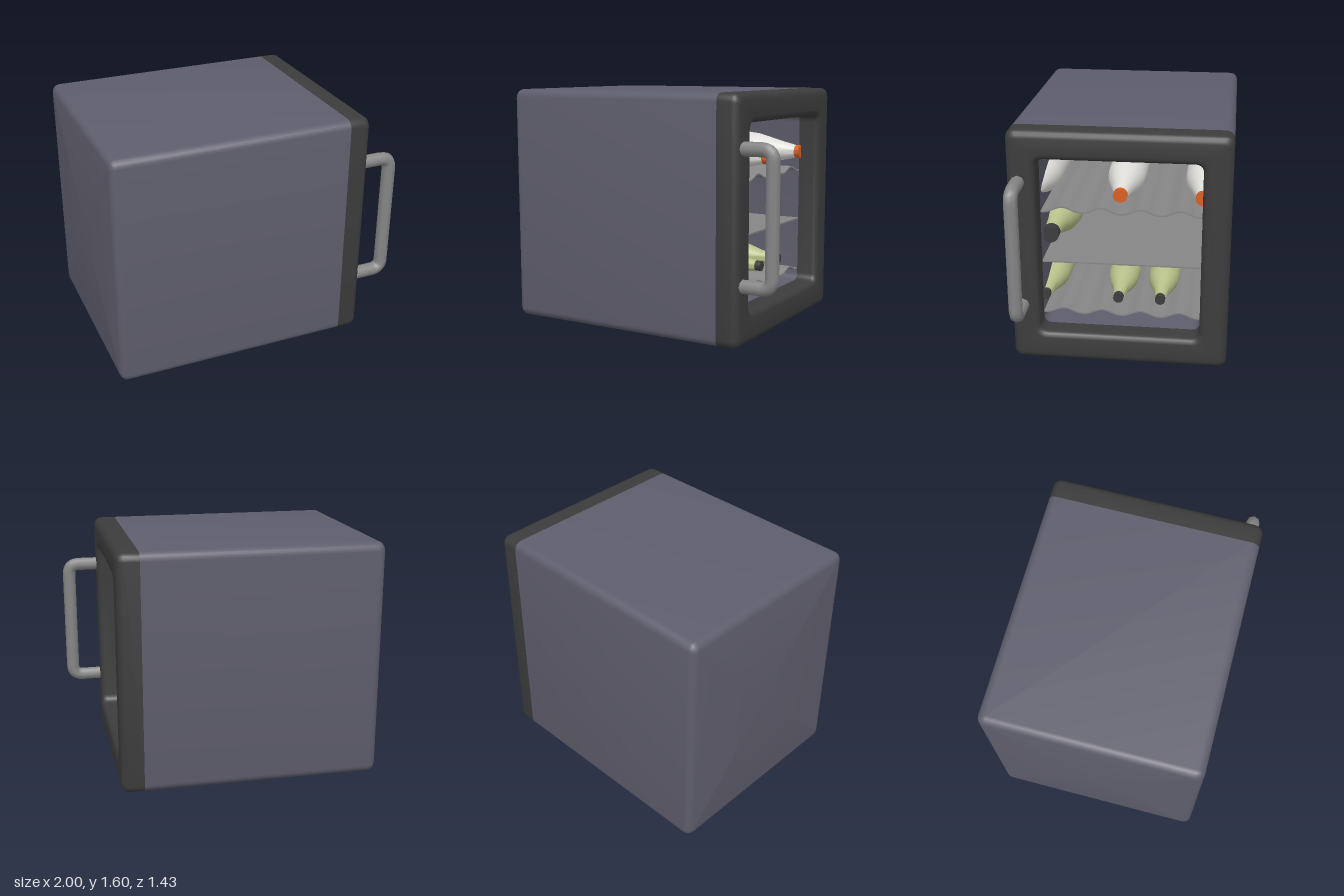
import * as THREE from 'three';
import { toCreasedNormals } from 'three/addons/utils/BufferGeometryUtils.js';

const mat = (name, color) => {
  const m = new THREE.MeshStandardMaterial({ color });
  m.name = name;
  return m;
};

// Rounded rectangle in the z-y plane as a ring of points
function ring([x, cy, hz, hy, r]) {
  const pts = [], steps = 5;
  const corners = [[1, 1], [-1, 1], [-1, -1], [1, -1]];
  corners.forEach(([sz, sy], c) => {
    for (let i = 0; i <= steps; i++) {
      const a = (c + i / steps) * Math.PI / 2;
      pts.push([x, cy + sy * (hy - r) + r * Math.sin(a), sz * (hz - r) + r * Math.cos(a)]);
    }
  });
  return pts;
}

// Skin joining rounded-rectangle sections [x, centreY, halfZ, halfY, radius]
function loft(sections) {
  const rings = sections.map(ring), n = rings[0].length, idx = [];
  for (let i = 0; i < rings.length - 1; i++) {
    for (let k = 0; k < n; k++) {
      const a = i * n + k, b = i * n + (k + 1) % n, d = a + n, c = b + n;
      idx.push(a, d, b, b, d, c);
    }
  }
  const g = new THREE.BufferGeometry();
  g.setAttribute('position', new THREE.Float32BufferAttribute(rings.flat(2), 3));
  g.setIndex(idx);
  return toCreasedNormals(g, 0.7);
}

export function createModel() {
  const group = new THREE.Group();
  const body = mat('slate body', 0x5e5d6c);
  const frame = mat('charcoal', 0x3c3c3c);
  const metal = mat('grey metal', 0x868686);
  const white = mat('white glass', 0xdedcd8);
  const green = mat('green glass', 0xb6c088);
  const orange = mat('orange cap', 0xd95f22);

  const add = (name, geometry, material, parent = group) => {
    const mesh = new THREE.Mesh(geometry, material);
    mesh.name = name;
    parent.add(mesh);
    return mesh;
  };

  // Cabinet: outer skin with rounded back edge, and the cavity inside
  const B = 0.05, CY = 0.8, HZ = 0.715, HY = 0.8, OY = 0.805, OZ = 0.53, OH = 0.605;
  const arc = [0, 1, 2, 3, 4].map(i => i * Math.PI / 8);
  const outer = [[-1, CY, 0, 0, 0]];
  arc.forEach(a => {
    const inset = B * (1 - Math.sin(a));
    outer.push([-1 + B * (1 - Math.cos(a)), CY, HZ - inset, HY - inset, 0.055 - inset * 0.6]);
  });
  outer.push([0.6, CY, HZ, HY, 0.055]);
  add('cabinet', loft(outer), body);
  add('cavity', loft([[0.6, OY, OZ, OH, 0.05], [-0.9, OY, OZ, OH, 0.05], [-0.9, OY, 0, 0, 0]]), body);

  // Door frame: rounded outside edge, flat face, rounded opening
  const door = [[0.6, CY, HZ, HY, 0.055]];
  arc.forEach(a => {
    const inset = B * (1 - Math.cos(a));
    door.push([0.70 + B * Math.sin(a), CY, HZ - inset, HY - inset, 0.055 - inset * 0.6]);
  });
  arc.forEach(a => {
    const out = 0.04 * (1 - Math.sin(a));
    door.push([0.71 + 0.04 * Math.cos(a), OY, OZ + out, OH + out, 0.05 + out]);
  });
  door.push([0.6, OY, OZ, OH, 0.05]);
  add('doorFrame', loft(door), frame);

  // Handle: one bent bar
  const V = (x, y) => new THREE.Vector3(x, y, 0.64);
  const path = new THREE.CurvePath();
  path.add(new THREE.LineCurve3(V(0.73, 1.26), V(0.88, 1.26)));
  path.add(new THREE.QuadraticBezierCurve3(V(0.88, 1.26), V(0.952, 1.26), V(0.952, 1.19)));
  path.add(new THREE.LineCurve3(V(0.952, 1.19), V(0.952, 0.47)));
  path.add(new THREE.QuadraticBezierCurve3(V(0.952, 0.47), V(0.952, 0.4), V(0.88, 0.4)));
  path.add(new THREE.LineCurve3(V(0.88, 0.4), V(0.73, 0.4)));
  add('handle', new THREE.TubeGeometry(path, 64, 0.046, 8), metal);

  // Shelves: a thin profile extruded from the back wall to the door
  const shelf = (name, y, wave) => {
    const top = [], n = 64, t = 0.01;
    for (let i = 0; i <= n; i++) {
      const z = -OZ + 2 * OZ * i / n;
      top.push([z, y + wave * Math.pow(Math.sin(Math.PI * z / 0.26) ** 2, 1.2)]);
    }
    const outline = [...top, ...top.map(([z, h]) => [z, h - t]).reverse()];
    const shape = new THREE.Shape(outline.map(p => new THREE.Vector2(...p)));
    const g = new THREE.ExtrudeGeometry(shape, { depth: 1.5, bevelEnabled: false });
    g.rotateY(Math.PI / 2).translate(-0.9, 0, 0);
    add(name, toCreasedNormals(g, 0.6), metal);
  };
  shelf('topShelf', 1.015, 0.036);
  shelf('middleShelf', 0.66, 0);
  shelf('bottomShelf', 0.285, 0.036);

  // Bottles: turned profiles [radius, x] lying along x, neck toward the door
  const lathe = pts => toCreasedNormals(
    new THREE.LatheGeometry(pts.map(p => new THREE.Vector2(...p)), 32).rotateZ(-Math.PI / 2), 0.6);
  const bottle = (name, profile, cap, glass, capMat, y, z) => {
    const g = new THREE.Group();
    g.name = name;
    g.position.set(0, y, z);
    add('glass', lathe(profile), glass, g);
    add('cap', lathe(cap), capMat, g);
    group.add(g);
  };

  const whiteGlass = [[0, -0.5], [0.128, -0.5], [0.128, 0.2], [0.12, 0.28], [0.1, 0.36], [0.07, 0.47], [0.045, 0.58]];
  const whiteCap = [[0.045, 0.57], [0.046, 0.615], [0, 0.615]];
  [0.58, 0.005, -0.525].forEach(z => bottle('whiteBottle', whiteGlass, whiteCap, white, orange, 1.145, z));

  const bigGlass = [[0, -0.5], [0.148, -0.5], [0.148, 0.05], [0.135, 0.15], [0.1, 0.26], [0.065, 0.36], [0.05, 0.46]];
  const bigCap = [[0.05, 0.45], [0.056, 0.46], [0.056, 0.53], [0, 0.53]];
  bottle('largeGreenBottle', bigGlass, bigCap, green, frame, 0.818, 0.485);

  const smallGlass = [[0, -0.4], [0.107, -0.4], [0.107, 0.2], [0.1, 0.27], [0.075, 0.36], [0.05, 0.44], [0.038, 0.54], [0, 0.54]];
  const smallCap = [[0.034, 0.53], [0.034, 0.58], [0, 0.58]];
  [0.52, 0.025, -0.257].forEach(z => bottle('smallGreenBottle', smallGlass, smallCap, green, frame, 0.397, z));

  return group;
}
